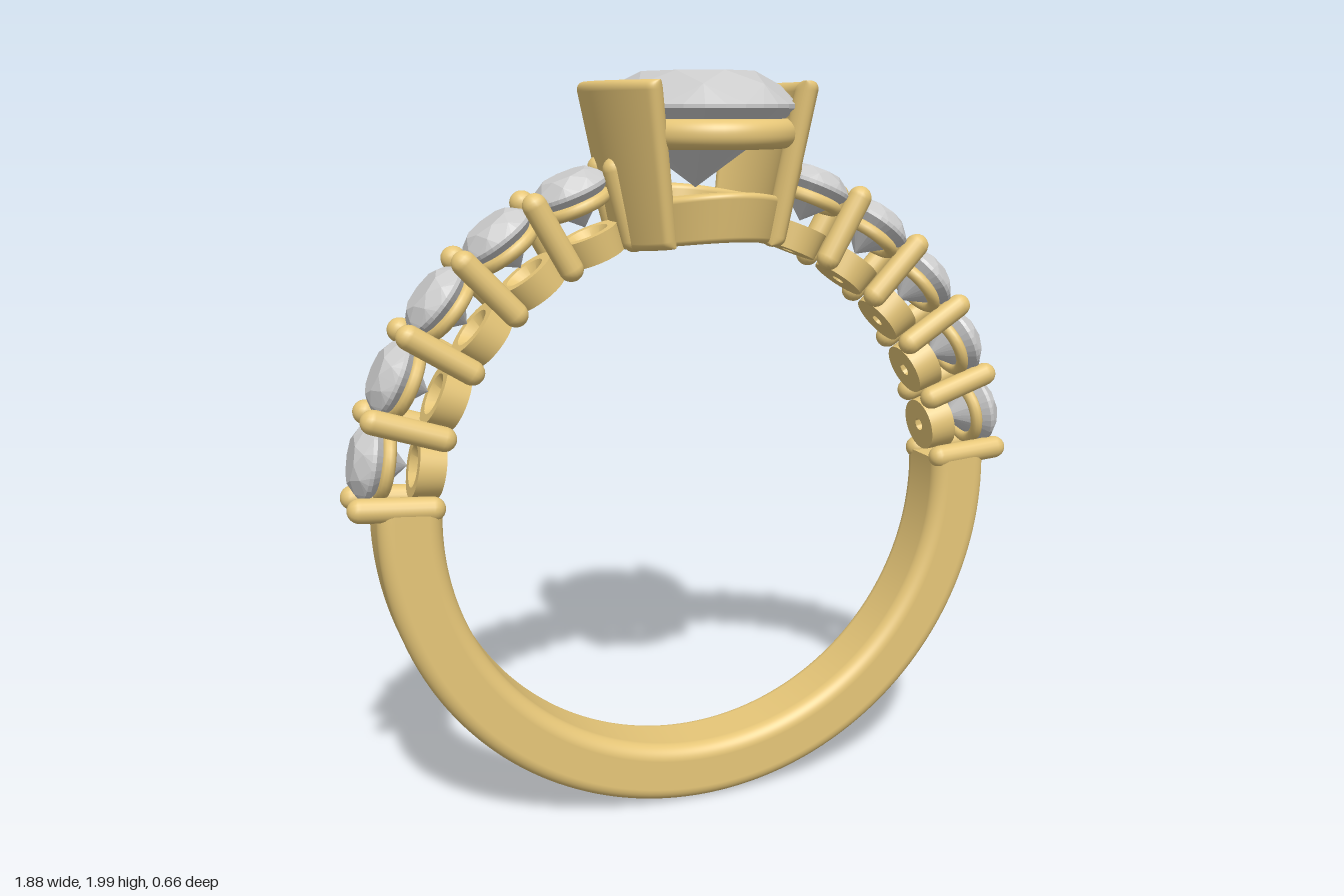
import * as THREE from 'three';
import { toCreasedNormals } from 'three/addons/utils/BufferGeometryUtils.js';
import { ConvexGeometry } from 'three/addons/geometries/ConvexGeometry.js';

const CENTER_Y = 0.88, R_IN = 0.708, R_OUT = 0.872;
const FIRST = 4.3, STEP = 14.1, STONES = 5; // degrees above horizontal
const rad = THREE.MathUtils.degToRad;

const gold = new THREE.MeshStandardMaterial({ color: 0xe6c678 });
const goldThin = new THREE.MeshStandardMaterial({ color: 0xe6c678, side: THREE.DoubleSide });
const gem = new THREE.MeshStandardMaterial({ color: 0xcccccc, flatShading: true });

function part(name, geometry, material) {
  const mesh = new THREE.Mesh(geometry, material);
  mesh.name = name;
  return mesh;
}

// Counter-clockwise rounded rectangle
function roundedRect(x0, x1, y0, y1, r) {
  const s = new THREE.Shape();
  s.moveTo(x0 + r, y0);
  s.absarc(x1 - r, y0 + r, r, -Math.PI / 2, 0);
  s.absarc(x1 - r, y1 - r, r, 0, Math.PI / 2);
  s.absarc(x0 + r, y1 - r, r, Math.PI / 2, Math.PI);
  s.absarc(x0 + r, y0 + r, r, Math.PI, Math.PI * 1.5);
  return s;
}

// Sweep a closed profile (half thickness, height) around an oval; open arcs get rounded ends.
// shift(y) moves the wall outward by height, drop(y) bends it to follow the finger hole.
function ovalSweep(points, a, b, shift, drop, t0 = 0, t1 = Math.PI * 2) {
  const closed = t1 - t0 > 6.28, n = points.length, segs = 64;
  const pos = [], index = [];
  for (let i = 0; i <= segs; i++) {
    // cosine spacing crowds the sections near open ends
    const u = closed ? i / segs : (1 - Math.cos(Math.PI * i / segs)) / 2;
    const t = t0 + (t1 - t0) * u;
    const edge = closed ? 0 : Math.max(0, 1 - Math.min(u, 1 - u) / 0.05);
    const thick = Math.sqrt(1 - edge * edge);
    for (const p of points) {
      const o = shift(p.y) + p.x * thick;
      const x = (a + o) * Math.cos(t), z = (b + o) * Math.sin(t);
      pos.push(x, p.y - drop(p.y) * (R_IN - Math.sqrt(R_IN * R_IN - x * x)), z);
    }
  }
  for (let i = 0; i < segs; i++) {
    for (let j = 0; j < n; j++) {
      const k = (j + 1) % n, next = closed ? (i + 1) % segs : i + 1;
      const A = i * n + j, B = i * n + k, C = next * n + j, D = next * n + k;
      index.push(A, B, C, B, D, C);
    }
  }
  const g = new THREE.BufferGeometry();
  g.setAttribute('position', new THREE.Float32BufferAttribute(pos, 3));
  g.setIndex(index);
  g.computeVertexNormals();
  return g;
}

function profile(...rect) {
  const pts = roundedRect(...rect).getPoints(6);
  if (pts[0].distanceTo(pts[pts.length - 1]) < 1e-6) pts.pop();
  return pts;
}

// Brilliant cut with its girdle at y = 0
function cutStone(rx, rz, crown, depth) {
  const pts = [];
  const ring = (count, r, y, turn) => {
    for (let i = 0; i < count; i++) {
      const t = (i + turn) / count * Math.PI * 2;
      pts.push(new THREE.Vector3(rx * r * Math.cos(t), y, rz * r * Math.sin(t)));
    }
  };
  ring(8, 0.6, crown, 0);
  ring(8, 0.84, crown * 0.6, 0.5);
  ring(32, 1, 0.004, 0);
  ring(32, 1, -0.006, 0);
  ring(8, 0.5, -depth * 0.54, 0.5);
  pts.push(new THREE.Vector3(0, -depth, 0));
  return new ConvexGeometry(pts);
}

// Plain lower band with capped ends
function buildBand() {
  const band = new THREE.Group();
  band.name = 'band';
  const shape = roundedRect(R_IN, R_OUT, -0.095, 0.095, 0.04);
  const pts = shape.getPoints(8);
  if (pts[0].distanceTo(pts[pts.length - 1]) > 1e-6) pts.push(pts[0].clone());
  const half = rad(90 + FIRST);
  const hoop = new THREE.LatheGeometry(pts, 96, -half, half * 2);
  hoop.rotateX(Math.PI / 2);
  band.add(part('bandHoop', hoop, gold));
  for (const deg of [FIRST, 180 - FIRST]) {
    const cap = new THREE.ShapeGeometry(shape, 8);
    cap.rotateX(Math.PI / 2).rotateZ(rad(deg));
    band.add(part('bandEnd', cap, goldThin));
  }
  band.position.y = CENTER_Y;
  return band;
}

// Shoulder stones, their cups and rails, and the prong pairs between them
function buildShoulder(side) {
  const shoulder = new THREE.Group();
  shoulder.name = side > 0 ? 'leftShoulder' : 'rightShoulder';
  shoulder.position.y = CENTER_Y;
  const prongGeo = new THREE.CapsuleGeometry(0.032, 0.18, 6, 16);
  const stoneGeo = cutStone(0.102, 0.102, 0.042, 0.1);
  const railGeo = new THREE.TorusGeometry(0.079, 0.017, 10, 32).rotateX(Math.PI / 2);
  const cupGeo = toCreasedNormals(new THREE.LatheGeometry([
    [0.018, 0], [0.074, 0], [0.082, 0.07], [0.055, 0.07], [0.018, 0.03], [0.018, 0],
  ].map(([x, y]) => new THREE.Vector2(x, y)), 32), 0.6);

  // Local +y of each holder points away from the ring centre
  const holder = (name, deg) => {
    const g = new THREE.Group();
    g.name = name;
    g.rotation.z = side * rad(deg - 90);
    shoulder.add(g);
    return g;
  };
  const place = (g, mesh, y, z = 0) => {
    mesh.position.set(0, y, z);
    g.add(mesh);
  };
  for (let i = 0; i <= STONES; i++) {
    const pair = holder('prongPair', FIRST + i * STEP);
    for (const z of [-0.065, 0.065]) place(pair, part('prong', prongGeo, gold), 0.823, z);
    if (i === STONES) break;
    const setting = holder('stoneSetting', FIRST + (i + 0.5) * STEP);
    place(setting, part('shoulderStone', stoneGeo, gem), 0.895);
    place(setting, part('settingRail', railGeo, gold), 0.855);
    place(setting, part('settingCup', cupGeo, gold), 0.71);
  }
  return shoulder;
}

// Oval centre stone held by two curved side walls and two gallery rings
function buildHead() {
  const head = new THREE.Group();
  head.name = 'head';
  const stone = part('centerStone', cutStone(0.245, 0.328, 0.085, 0.205), gem);
  stone.position.y = 1.915;
  head.add(stone);

  const bottom = 1.585, top = 1.975;
  const up = y => (y - bottom) / (top - bottom);
  const wallPts = profile(-0.028, 0.028, bottom, top, 0.022);
  const arc = rad(46);
  for (const [name, mid] of [['leftWall', 0], ['rightWall', Math.PI]]) {
    head.add(part(name, ovalSweep(wallPts, 0.27, 0.36,
      y => -0.085 * (1 - up(y)), y => 1 - up(y), mid - arc, mid + arc), gold));
  }

  head.add(part('upperGallery', ovalSweep(profile(-0.035, 0.035, 1.812, 1.884, 0.034),
    0.218, 0.29, () => 0, () => 0), gold));
  head.add(part('lowerGallery', ovalSweep(profile(-0.028, 0.028, 1.588, 1.71, 0.014),
    0.165, 0.225, y => 0.2 * (y - 1.588), () => 1), gold));
  return head;
}

export function createModel() {
  const model = new THREE.Group();
  model.name = 'ring';
  model.add(buildBand(), buildShoulder(1), buildShoulder(-1), buildHead());
  return model;
}
